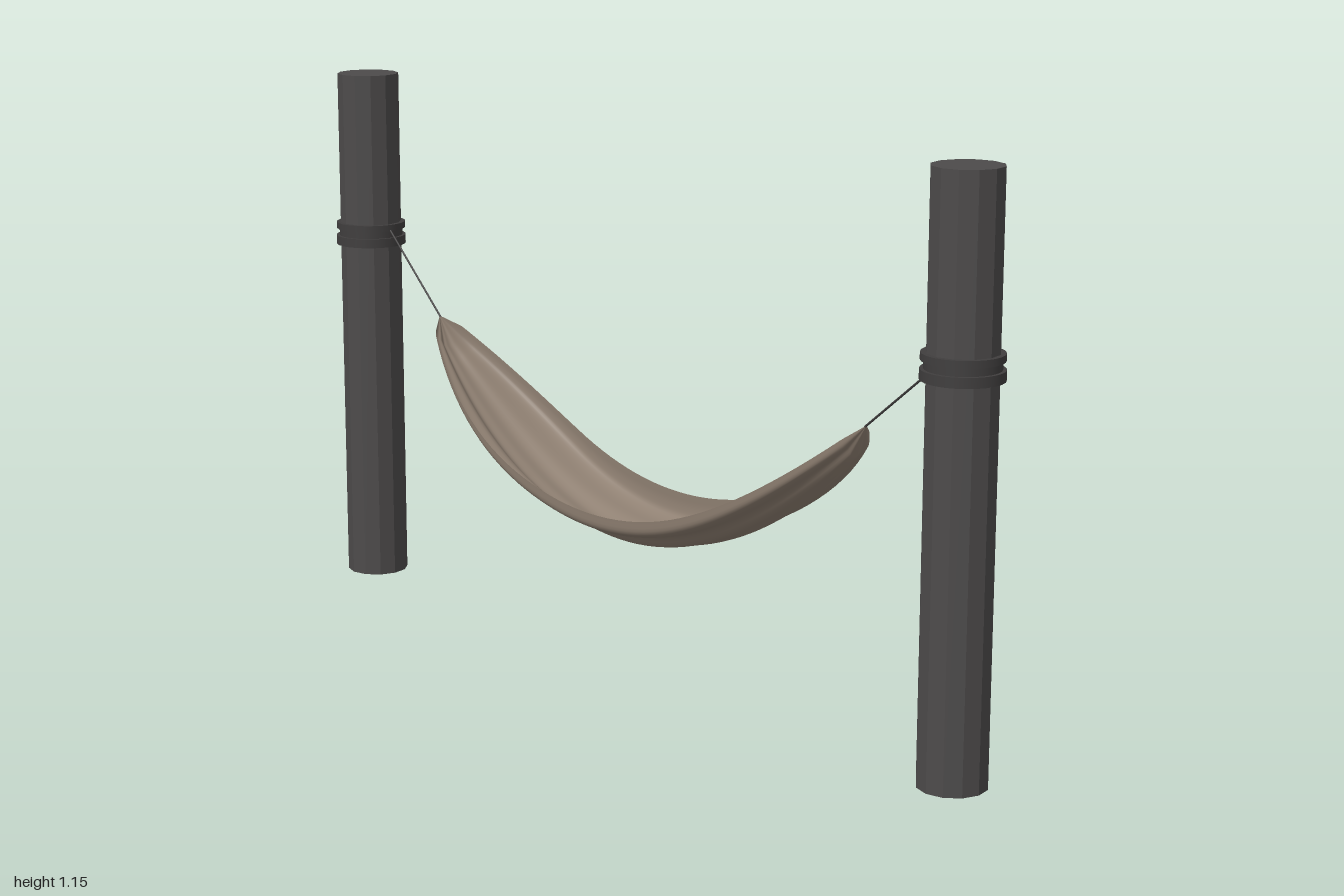
import * as THREE from 'three';

export function createModel() {
  const model = new THREE.Group();
  const mat = (name, color, extra = {}) => new THREE.MeshStandardMaterial({ name, color, ...extra });
  const postMat = mat('post grey', 0x4d4b4b, { flatShading: true });
  const ropeMat = mat('rope grey', 0x403e3e);
  const clothMat = mat('tan cloth', 0x8f8072, { side: THREE.DoubleSide });

  const add = (name, geometry, material, x = 0, y = 0, z = 0) => {
    const mesh = new THREE.Mesh(geometry, material);
    mesh.name = name;
    mesh.position.set(x, y, z);
    model.add(mesh);
    return mesh;
  };

  // Posts with rope bindings, and the lines that carry the cloth
  const centre = 0.01, tipReach = 0.672, tipY = 0.636;
  for (const side of [-1, 1]) {
    const label = side > 0 ? 'left' : 'right';
    const x = side * 0.922;
    add(label + 'Post', new THREE.CylinderGeometry(0.068, 0.068, 1.15, 12), postMat, x, 0.575);
    for (const [y, r, h] of [[0.808, 0.077, 0.014], [0.792, 0.071, 0.018], [0.775, 0.078, 0.02]]) {
      add(label + 'Binding', new THREE.CylinderGeometry(r, r, h, 24), ropeMat, x, y);
    }
    const line = new THREE.LineCurve3(
      new THREE.Vector3(side * 0.85, side > 0 ? 0.772 : 0.806, 0),
      new THREE.Vector3(centre + side * (tipReach - 0.004), tipY - 0.003, 0));
    add(label + 'Line', new THREE.TubeGeometry(line, 1, 0.0022, 6), ropeMat);
  }

  // Folded cross-section of the cloth: side position -1..1, height 0..1
  const section = new THREE.CatmullRomCurve3([
    [-1, 1], [-1, 0.62], [-0.95, 0.36], [-0.78, 0.23], [-0.45, 0.17], [-0.18, 0],
    [0.08, 0.06], [0.32, 0.08], [0.56, 0.42], [0.82, 0.47], [0.96, 0.6], [1, 0.94],
  ].map(([s, h]) => new THREE.Vector3(s, h, 0))).getPoints(44);

  // Half width: full in the middle, gathered towards the ends
  const halfWidth = (u, full, end, start) => {
    const t = Math.max(0, (u - start) / (1 - start));
    return full - (full - end) * t * t * (0.65 + 0.35 * t);
  };

  // Sweep the section along the sag; the first and last rows gather into a point
  const rows = 48, cols = section.length;
  const positions = [], indices = [];
  for (let i = 0; i <= rows; i++) {
    const gathered = i === 0 || i === rows;
    const v = gathered ? Math.sign(i - 1) : -1 + 2 * (i - 1) / (rows - 2);
    const u = Math.abs(v);
    const edgeY = 0.35 + 0.262 * u * u;
    const bottomY = 0.27 + 0.302 * u * u;
    const front = halfWidth(u, 0.117, 0.033, 0.35);
    const back = halfWidth(u, 0.121, 0.038, 0.5);
    for (const p of section) {
      if (gathered) positions.push(centre + v * tipReach, tipY, 0);
      else positions.push(centre + v * 0.642, bottomY + (edgeY - bottomY) * p.y, p.x * (p.x > 0 ? front : back));
    }
  }
  for (let i = 0; i < rows; i++) {
    for (let j = 0; j < cols - 1; j++) {
      const a = i * cols + j, b = a + cols;
      if (i < rows - 1) indices.push(a, b + 1, b);
      if (i > 0) indices.push(a, a + 1, b + 1);
    }
  }
  const cloth = new THREE.BufferGeometry();
  cloth.setAttribute('position', new THREE.Float32BufferAttribute(positions, 3));
  cloth.setIndex(indices);
  cloth.computeVertexNormals();
  add('hammockCloth', cloth, clothMat);

  return model;
}
